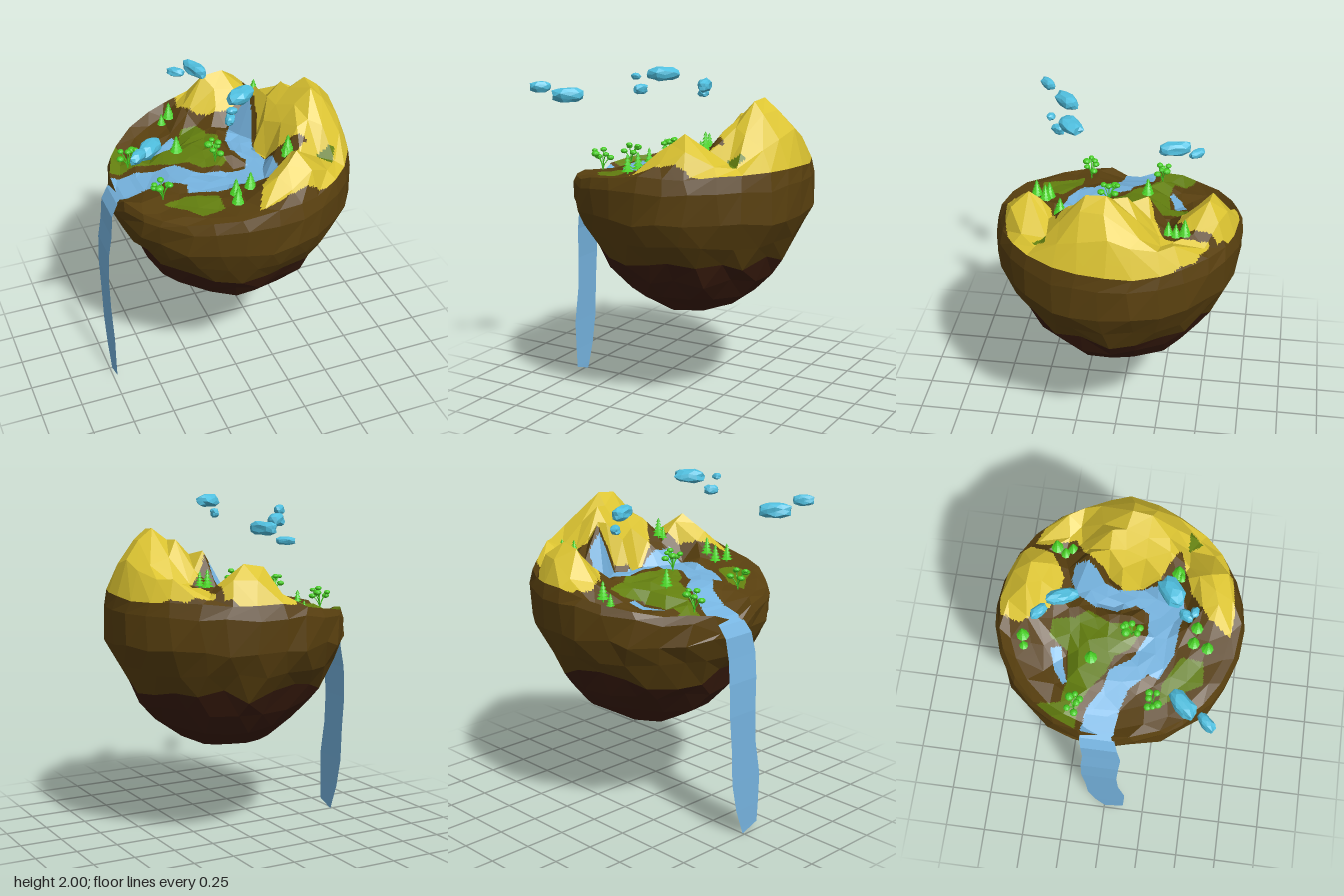
import * as THREE from 'three';

const mat = (name, color, side = THREE.FrontSide) =>
  Object.assign(new THREE.MeshStandardMaterial({ color, flatShading: true, side }), { name });
const M = {
  earth: mat('earth brown', 0x59400f),
  root: mat('dark soil', 0x3a1c0e),
  grass: mat('grass green', 0x64800f),
  mountain: mat('mountain yellow', 0xdcc431),
  water: mat('water blue', 0x76b4e0, THREE.DoubleSide),
  leaf: mat('leaf green', 0x46cc22),
  cloud: mat('cloud blue', 0x50c0e0),
};

let seed = 7;
const rnd = (a = 1) => { // seeded value in -a..a
  seed = (seed * 16807) % 2147483647;
  return (seed / 2147483647 * 2 - 1) * a;
};

// Outlines of the painted areas, as x,z pairs
const RIVER = [-.7, -.15, -.5, -.12, -.38, -.04, -.28, -.02, -.2, .1, -.05, .17, .08, .16, .12, .08, .06, -.02,
  .08, -.15, .14, -.26, .2, -.3, .26, -.28, .25, -.15, .2, -.02, .23, .15, .22, .34, .1, .36, 0, .34,
  -.15, .33, -.3, .26, -.28, .2, -.38, .1, -.5, .06, -.7, .04];
const POND = [-.38, -.27, -.3, -.33, -.18, -.37, -.16, -.31, -.28, -.28, -.36, -.25];
const MEADOW = [-.68, -.17, -.56, -.42, -.5, -.38, -.48, -.27, -.35, -.25, -.18, -.27, -.12, -.38, -.02, -.38,
  0, -.25, .05, -.18, -.02, -.05, 0, .08, -.05, .13, -.15, .08, -.2, 0, -.3, -.04, -.4, -.12, -.5, -.17];
const LAWN = [-.45, .28, -.33, .28, -.16, .37, -.17, .5, -.3, .51, -.36, .4];
const TUFT = [.44, .34, .55, .34, .5, .42];
const BACK_RANGE = [-.08, -.55, -.05, -.67, .1, -.7, .25, -.67, .35, -.58, .32, -.42, .2, -.34, .08, -.36, 0, -.42];
const MAIN_RANGE = [.38, -.54, .52, -.48, .59, -.4, .69, -.28, .74, -.1, .74, .05, .69, .25, .61, .42, .46, .56,
  .3, .61, .1, .64, -.02, .63, .05, .5, .2, .38, .4, .3, .25, .2, .2, 0, .27, -.12, .27, -.2, .33, -.24, .42, -.3, .38, -.45];

const inside = (p, x, z) => {
  let hit = false;
  for (let i = 0, j = p.length - 2; i < p.length; j = i, i += 2)
    if ((p[i + 1] > z) !== (p[j + 1] > z) &&
      x < (p[j] - p[i]) * (z - p[i + 1]) / (p[j + 1] - p[i + 1]) + p[i]) hit = !hit;
  return hit;
};
const any = (list, x, z) => list.some(p => inside(p, x, z));
const paint = (x, z) => any([RIVER, POND], x, z) ? 'water'
  : inside(TUFT, x, z) ? 'grass'
  : any([BACK_RANGE, MAIN_RANGE], x, z) ? 'mountain'
  : any([MEADOW, LAWN], x, z) ? 'grass' : 'earth';

// Peaks: x, z, top, foot radius
const PEAKS = [[.5, .01, 1.83, .3], [.49, .12, 1.82, .24], [.4, -.09, 1.77, .2], [.28, -.19, 1.71, .1],
  [.2, -.52, 1.66, .2], [.08, -.53, 1.64, .18], [.25, .48, 1.67, .2], [.12, .54, 1.57, .15],
  [.36, .24, 1.66, .13], [.55, -.36, 1.58, .16], [.6, -.18, 1.64, .18]];
const ground = x => 1.44 + .17 * Math.min(x, .3);
const riverLevel = x => Math.min(1.4, 1.4 + .4 * (x + .3));
const near = (p, x, z) => [[0, 0], [.03, 0], [-.03, 0], [0, .03], [0, -.03]].some(([u, v]) => inside(p, x + u, z + v));
const height = (x, z) => {
  if (near(RIVER, x, z)) return riverLevel(x) + rnd(.006);
  if (near(POND, x, z)) return 1.32;
  // the land dips behind the pond
  const dip = x < .1 ? .05 * Math.min(1, Math.max(0, (-z - .15) / .2)) : 0;
  const g = ground(x) - dip;
  let y = g + rnd(.012);
  for (const [px, pz, top, r] of PEAKS)
    y = Math.max(y, g + (top - g) * (1 - Math.pow(Math.hypot(x - px, z - pz) / r, 1.3)));
  return y;
};

const CX = .04;
const ring = (n, fn) => Array.from({ length: n }, (_, j) => {
  const a = (j + rnd(.2)) / n * Math.PI * 2;
  return fn(Math.cos(a), Math.sin(a));
});
const V = (x, y, z) => new THREE.Vector3(x, y, z);

// Zips two rings of any length together with triangles
function band(lo, hi, add) {
  const n = lo.length, m = hi.length;
  for (let i = 0, j = 0; i < n || j < m;) {
    const a = lo[i % n], b = hi[j % m];
    const stepLo = j >= m || (i < n && (i + .5) / n <= (j + .5) / m);
    const c = stepLo ? lo[++i % n] : hi[++j % m];
    if (c !== a && c !== b) add(a, b, c);
  }
}
function meshFrom(name, points, material) {
  const g = new THREE.BufferGeometry().setFromPoints(points);
  g.computeVertexNormals();
  const m = new THREE.Mesh(g, material);
  m.name = name;
  return m;
}

function buildIsland(group) {
  const tris = { root: [], earth: [], grass: [], mountain: [], water: [] };
  const centres = [];

  // Underside from the bottom up: height, radius, sides
  const profile = [[.545, .14, 8], [.59, .27, 12], [.69, .405, 17], [.81, .5, 20], [.925, .57, 24], [1.05, .645, 26], [1.19, .705, 28]];
  const rings = [[V(.02, .535, 0)]];
  profile.forEach(([y, r, n], i) => rings.push(ring(n, (c, s) => {
    const q = r + rnd(.012);
    return V(CX + q * c, y + (i ? rnd(i === 4 ? .045 : .02) : rnd(.008)), q * s);
  })));
  rings.push(ring(28, (c, s) => {
    const x = CX + .705 * c, z = .71 * s;
    return V(x, Math.min(1.37, ground(x) - .04) - (inside(RIVER, x, z) ? .08 : 0) + rnd(.015), z);
  }));
  const rim = ring(28, (c, s) => {
    const x = CX + .69 * c, z = .685 * s, notch = inside(RIVER, x, z);
    return V(notch ? x + .02 : x, notch ? 1.265 : Math.min(1.455, ground(x)) + rnd(.012), z);
  });
  rings.push(rim);
  for (let i = 0; i + 1 < rings.length; i++)
    band(rings[i], rings[i + 1], (...t) => tris[i < 5 ? 'root' : 'earth'].push(...t));

  // Land on top: rings from the rim to the middle, with vertices snapped to the peaks
  const N = 9, land = [rim];
  for (let i = N - 1; i > 0; i--) land.push(ring(Math.round(5 + 2.8 * i), (c, s) => {
    const r = .685 * (i + (i === N - 1 ? .3 : rnd(.15))) / N, x = CX + r * c, z = r * s;
    return V(x, height(x, z), z);
  }));
  const flat = land.slice(1).flat();
  for (const [x, z, y] of PEAKS) {
    const d = p => Math.hypot(p.x - x, p.z - z);
    flat.reduce((a, b) => (d(b) < d(a) ? b : a)).set(x, y, z);
  }
  land.push([V(CX, height(CX, 0), 0)]);

  // Each facet is split finely so the colour borders follow the outlines
  const split = (a, b, c) => {
    const n = 11, at = (u, v) => a.clone().multiplyScalar(1 - (u + v) / n).addScaledVector(b, u / n).addScaledVector(c, v / n);
    const put = (p, q, r) => {
      const m = p.clone().add(q).add(r).divideScalar(3);
      centres.push(m);
      tris[paint(m.x, m.z)].push(p, q, r);
    };
    for (let u = 0; u < n; u++) for (let v = 0; u + v < n; v++) {
      put(at(u, v), at(u + 1, v), at(u, v + 1));
      if (u + v < n - 1) put(at(u + 1, v), at(u + 1, v + 1), at(u, v + 1));
    }
  };
  for (let i = 0; i + 1 < land.length; i++) band(land[i], land[i + 1], split);

  const names = { root: 'undersideSoil', earth: 'islandBody', grass: 'meadows', mountain: 'mountains', water: 'river' };
  for (const k in tris) group.add(meshFrom(names[k], tris[k], M[k]));
  return (x, z) => centres.reduce((a, b) =>
    Math.hypot(b.x - x, b.z - z) < Math.hypot(a.x - x, a.z - z) ? b : a).y;
}

// Thin falling sheet: x, y, z of one edge, z of the other
function buildWaterfall() {
  const rows = [[-.53, 1.318, -.12, .05], [-.61, 1.295, -.13, .05], [-.655, 1.265, -.14, .06], [-.695, 1.2, -.13, .08],
    [-.71, 1.08, -.12, .1], [-.73, .94, -.13, .09], [-.738, .75, -.13, .08], [-.738, .55, -.11, .09],
    [-.738, .34, -.1, .13], [-.737, .16, -.06, .125], [-.735, .04, -.015, .12], [-.735, 0, 0, .005]];
  const pts = [];
  for (let i = 0; i + 1 < rows.length; i++) {
    const [[x, y, a, b], [X, Y, A, B]] = [rows[i], rows[i + 1]];
    pts.push(V(x, y, a), V(X, Y, A), V(x, y, b), V(x, y, b), V(X, Y, A), V(X, Y, B));
  }
  return meshFrom('waterfall', pts, M.water);
}

function part(name, geometry, material, x, y, z) {
  const m = new THREE.Mesh(geometry, material);
  m.name = name;
  m.position.set(x, y, z);
  return m;
}

// Trunk with flat, spaced tiers
function conifer(h) {
  const g = new THREE.Group();
  g.name = 'conifer';
  g.add(part('trunk', new THREE.CylinderGeometry(.004, .006, h, 5), M.leaf, 0, h * .45, 0));
  for (let i = 0; i < 5; i++)
    g.add(part('needles', new THREE.ConeGeometry(h * (.32 - i * .055), h * .2, 8), M.leaf, 0, h * (.25 + i * .17), 0));
  return g;
}

// Bent branches carrying flattened crowns
function leafyTree() {
  const g = new THREE.Group();
  g.name = 'leafyTree';
  for (const [x, y, z, r] of [[-.045, .075, .01, .022], [.035, .1, -.025, .025], [0, .12, .02, .02],
    [.035, .075, .03, .022], [.05, .115, .005, .017], [-.03, .1, -.03, .019]]) {
    const path = new THREE.QuadraticBezierCurve3(V(0, -.01, 0), V(0, y * .6, 0), V(x, y, z));
    g.add(part('branch', new THREE.TubeGeometry(path, 4, .003, 5), M.leaf, 0, 0, 0));
    const crown = part('crown', new THREE.IcosahedronGeometry(r, 1), M.leaf, x, y, z);
    crown.scale.y = .7;
    g.add(crown);
  }
  return g;
}

// Blocky stone-like cloud
function cloud(x, y, z, length, thick, width, yaw) {
  const geo = new THREE.IcosahedronGeometry(1, 1), p = geo.attributes.position, v = V(0, 0, 0);
  for (let i = 0; i < p.count; i++) {
    v.fromBufferAttribute(p, i);
    const box = Math.cbrt(Math.abs(v.x) ** 3 + Math.abs(v.y) ** 3 + Math.abs(v.z) ** 3);
    v.multiplyScalar((1 + .15 * Math.sin(v.x * 5 + v.y * 7 + x * 30) * Math.cos(v.z * 6 + z * 20)) / box);
    p.setXYZ(i, v.x, v.y, v.z);
  }
  geo.scale(length, thick, width);
  geo.computeVertexNormals();
  const m = part('cloud', geo, M.cloud, x, y, z);
  m.rotation.y = yaw;
  return m;
}

export function createModel() {
  const model = new THREE.Group();
  model.name = 'floatingIsland';
  const heightAt = buildIsland(model);
  model.add(buildWaterfall());

  const plant = (tree, x, z, turn = 0) => {
    tree.position.set(x, heightAt(x, z), z);
    tree.rotation.y = turn;
    model.add(tree);
  };
  for (const [x, z, h] of [[-.14, -.53, .115], [-.19, -.52, .08], [-.23, -.13, .115], [.36, -.4, .11], [.34, -.35, .09],
    [.36, -.31, .09], [.28, .3, .12], [.26, .32, .08], [-.1, .51, .11], [-.08, .43, .11], [0, .44, .11]])
    plant(conifer(h), x, z);
  [[-.51, -.19], [-.07, .08], [-.44, .24]].forEach(([x, z], i) => plant(leafyTree(), x, z, i * 1.7));

  for (const c of [[-.56, 1.82, .405, .09, .042, .045, .8], [-.66, 1.875, .535, .058, .032, .028, .8],
    [0, 1.96, .28, .085, .037, .055, .7], [-.1, 1.955, .41, .028, .018, .022, 0], [-.095, 1.88, .37, .04, .028, .026, 1.2],
    [-.05, 1.83, -.3, .092, .037, .038, -1.25], [-.125, 1.765, -.42, .052, .023, .028, -.8]])
    model.add(cloud(...c));
  return model;
}
